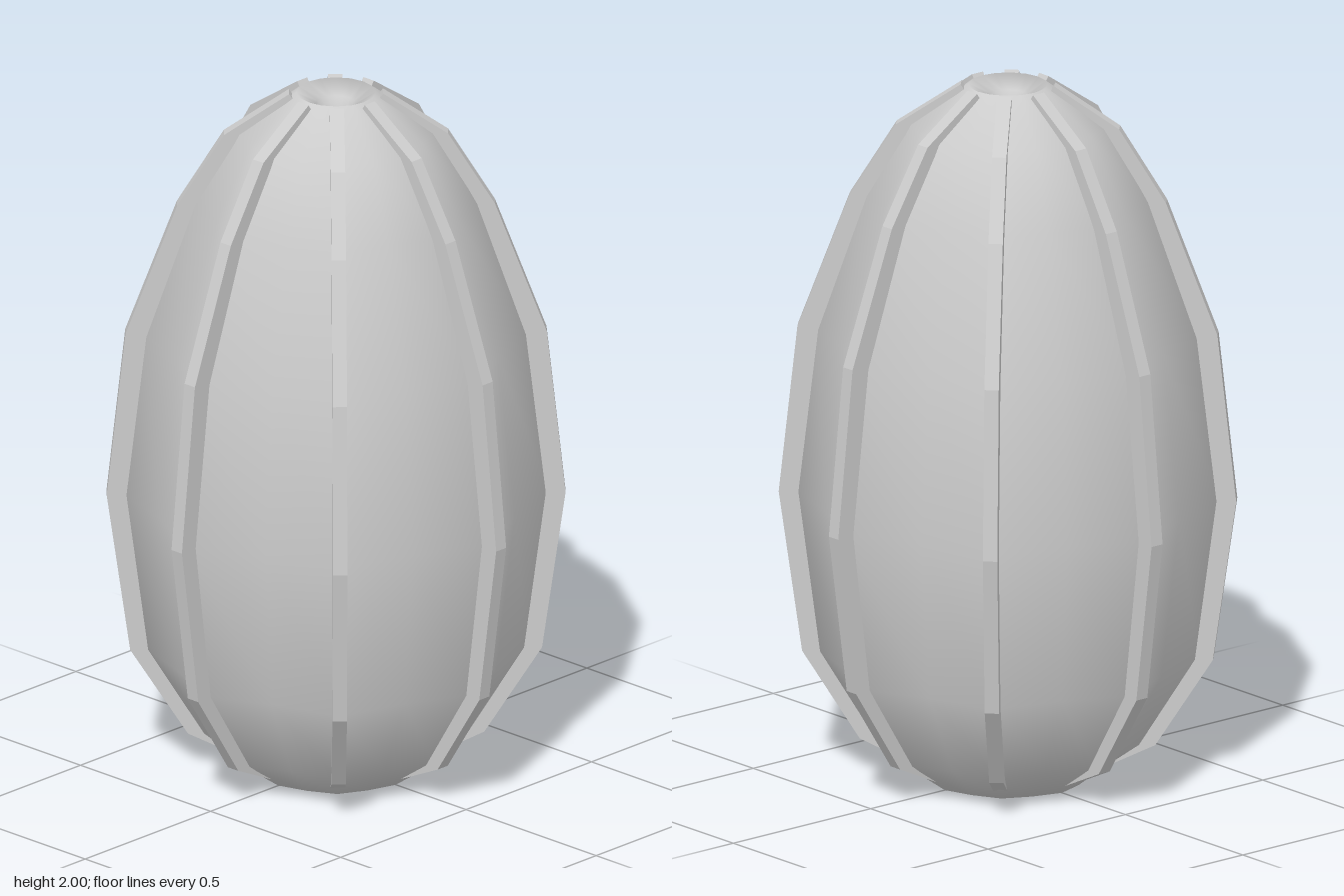
import * as THREE from 'three';
import { mergeVertices } from 'three/addons/utils/BufferGeometryUtils.js';

const RIBS = 8;
const toPoints = (list) => list.map(([r, y]) => new THREE.Vector2(r, y));

// Closed profile: down the narrow core, round the base, up the outside, into the top dimple
const BODY = [
  [0.02, 1.6], [0.02, 0.35], [0.045, 0.16], [0.1, 0.05], [0.23, 0],
  [0.375, 0.1], [0.53, 0.35], [0.59, 0.81], [0.535, 1.28], [0.4, 1.67],
  [0.275, 1.88], [0.11, 1.998], [0.055, 1.965], [0.025, 1.88], [0.02, 1.6],
];

// Rib outline: outer edge from base to top, then back inside the body
const RIB = [
  [0.22, 0.01], [0.41, 0.1], [0.57, 0.35], [0.635, 0.81], [0.583, 1.29],
  [0.44, 1.67], [0.31, 1.88], [0.13, 2], [0.11, 1.97],
  [0.25, 1.82], [0.36, 1.62], [0.48, 1.27], [0.53, 0.81], [0.47, 0.4], [0.3, 0.15],
];

// Lathe whose outer wall is pulled in midway between the ribs
function bodyGeometry() {
  const lathe = new THREE.LatheGeometry(toPoints(BODY), RIBS * 2);
  const p = lathe.attributes.position;
  for (let i = 0; i < p.count; i++) {
    const x = p.getX(i), z = p.getZ(i);
    const valley = (1 - Math.cos(RIBS * Math.atan2(x, z))) / 2;
    const pull = 1 - 0.1 * valley * THREE.MathUtils.smoothstep(Math.hypot(x, z), 0.1, 0.4);
    p.setX(i, x * pull);
    p.setZ(i, z * pull);
  }
  lathe.deleteAttribute('uv');
  lathe.deleteAttribute('normal');
  const geometry = mergeVertices(lathe);
  geometry.computeVertexNormals();
  return geometry;
}

export function createModel() {
  const group = new THREE.Group();
  group.name = 'ribbedPod';
  const material = new THREE.MeshStandardMaterial({ color: 0xcccccc });

  const body = new THREE.Mesh(bodyGeometry(), material);
  body.name = 'body';
  group.add(body);

  // Flat ribs set on the ridges of the body
  const width = 0.04;
  const ribGeometry = new THREE.ExtrudeGeometry(new THREE.Shape(toPoints(RIB)), {
    depth: width, bevelEnabled: false,
  });
  ribGeometry.translate(0, 0, -width / 2);
  for (let i = 0; i < RIBS; i++) {
    const rib = new THREE.Mesh(ribGeometry, material);
    rib.name = `rib${i + 1}`;
    rib.rotation.y = (i / RIBS) * Math.PI * 2;
    group.add(rib);
  }
  return group;
}
